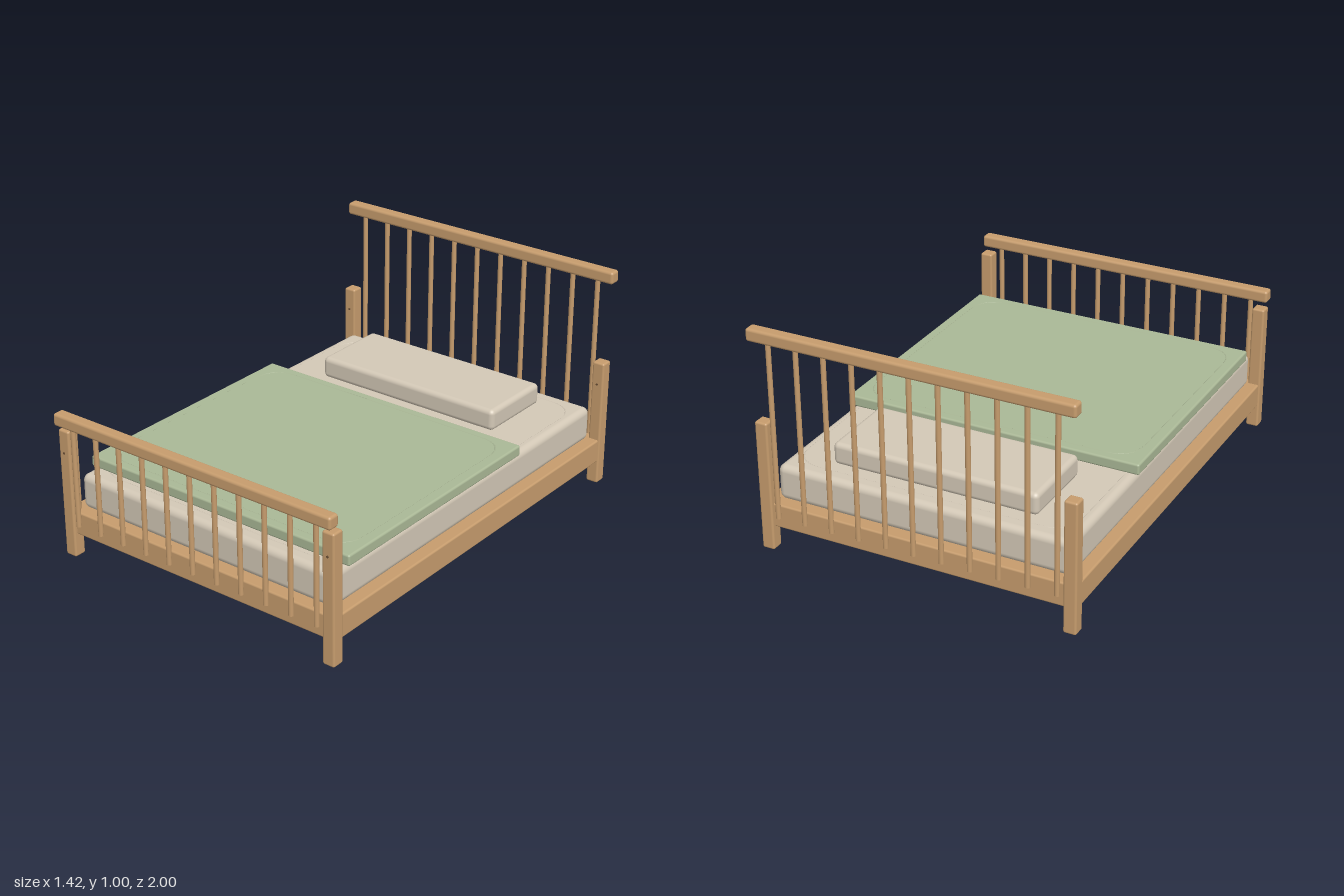
import * as THREE from 'three';
import { RoundedBoxGeometry } from 'three/addons/geometries/RoundedBoxGeometry.js';

const material = (name, color) => {
  const m = new THREE.MeshStandardMaterial({ color });
  m.name = name;
  return m;
};

export function createModel() {
  const wood = material('wood', 0xc69c6d);
  const linen = material('linen', 0xd3c8b6);
  const green = material('sage blanket', 0xaab896);
  const dark = material('dark pegs', 0x6b4f35);

  const bed = new THREE.Group();
  bed.name = 'bed';

  const add = (name, geometry, mat, x = 0, y = 0, z = 0) => {
    const mesh = new THREE.Mesh(geometry, mat);
    mesh.name = name;
    mesh.position.set(x, y, z);
    bed.add(mesh);
    return mesh;
  };

  // Rounded box given by its lower and upper limits
  const block = (name, mat, [x0, x1], [y0, y1], [z0, z1], radius) =>
    add(name, new RoundedBoxGeometry(x1 - x0, y1 - y0, z1 - z0, 4, radius), mat,
      (x0 + x1) / 2, (y0 + y1) / 2, (z0 + z1) / 2);

  // Thin stitched seam: a rounded rectangle lying just proud of a top face
  const seam = (name, mat, halfW, halfD, r, y, z) => {
    const path = new THREE.CurvePath();
    const corners = [[1, 1], [-1, 1], [-1, -1], [1, -1]];
    const points = corners.map(([sx, sz], i) => {
      const c = new THREE.Vector3(sx * halfW, 0, sz * halfD);
      const alongX = new THREE.Vector3(sx * (halfW - r), 0, sz * halfD);
      const alongZ = new THREE.Vector3(sx * halfW, 0, sz * (halfD - r));
      return i % 2 ? [alongX, c, alongZ] : [alongZ, c, alongX];
    });
    points.forEach((p, i) => {
      path.add(new THREE.QuadraticBezierCurve3(...p));
      path.add(new THREE.LineCurve3(p[2], points[(i + 1) % 4][0]));
    });
    add(name, new THREE.TubeGeometry(path, 160, 0.004, 6, true), mat, 0, y, z);
  };

  // Bed base
  block('bedFrame', wood, [-0.705, 0.705], [0.105, 0.212], [-0.96, 0.96], 0.008);

  // Corner posts with small pegs
  const pegGeometry = new THREE.CylinderGeometry(0.005, 0.005, 0.006, 12).rotateX(Math.PI / 2);
  for (const sx of [-1, 1]) {
    for (const sz of [-1, 1]) {
      const x = sx * 0.683, z = sz * 0.948;
      add('post', new RoundedBoxGeometry(0.057, 0.582, 0.057, 3, 0.009), wood, x, 0.291, z);
      add('postPeg', pegGeometry, dark, x, 0.48, z + 0.029);
    }
  }

  // Headboard and footboard: a top rail over a row of round spindles
  const board = (name, top, railZ, spindleZ) => {
    block(name + 'Rail', wood, [-0.712, 0.712], [top - 0.056, top], [railZ - 0.0275, railZ + 0.0275], 0.012);
    const bottom = 0.157, height = top - 0.03 - bottom;
    const spindle = new THREE.CylinderGeometry(0.011, 0.011, height, 16);
    for (let i = -5; i <= 5; i++) {
      add(name + 'Spindle', spindle, wood, i * 0.1254, bottom + height / 2, spindleZ);
    }
  };
  board('headboard', 1.0, -0.9725, -0.97);
  board('footboard', 0.661, 0.9725, 0.974);

  // Bedding
  block('mattress', linen, [-0.66, 0.66], [0.21, 0.367], [-0.915, 0.915], 0.03);
  block('blanket', green, [-0.674, 0.674], [0.366, 0.415], [-0.333, 0.835], 0.009);
  block('pillow', linen, [-0.461, 0.461], [0.367, 0.465], [-0.805, -0.438], 0.022);
  seam('mattressSeam', linen, 0.62, 0.853, 0.13, 0.3645, 0);
  seam('blanketSeam', green, 0.628, 0.543, 0.13, 0.4125, 0.251);

  return bed;
}
